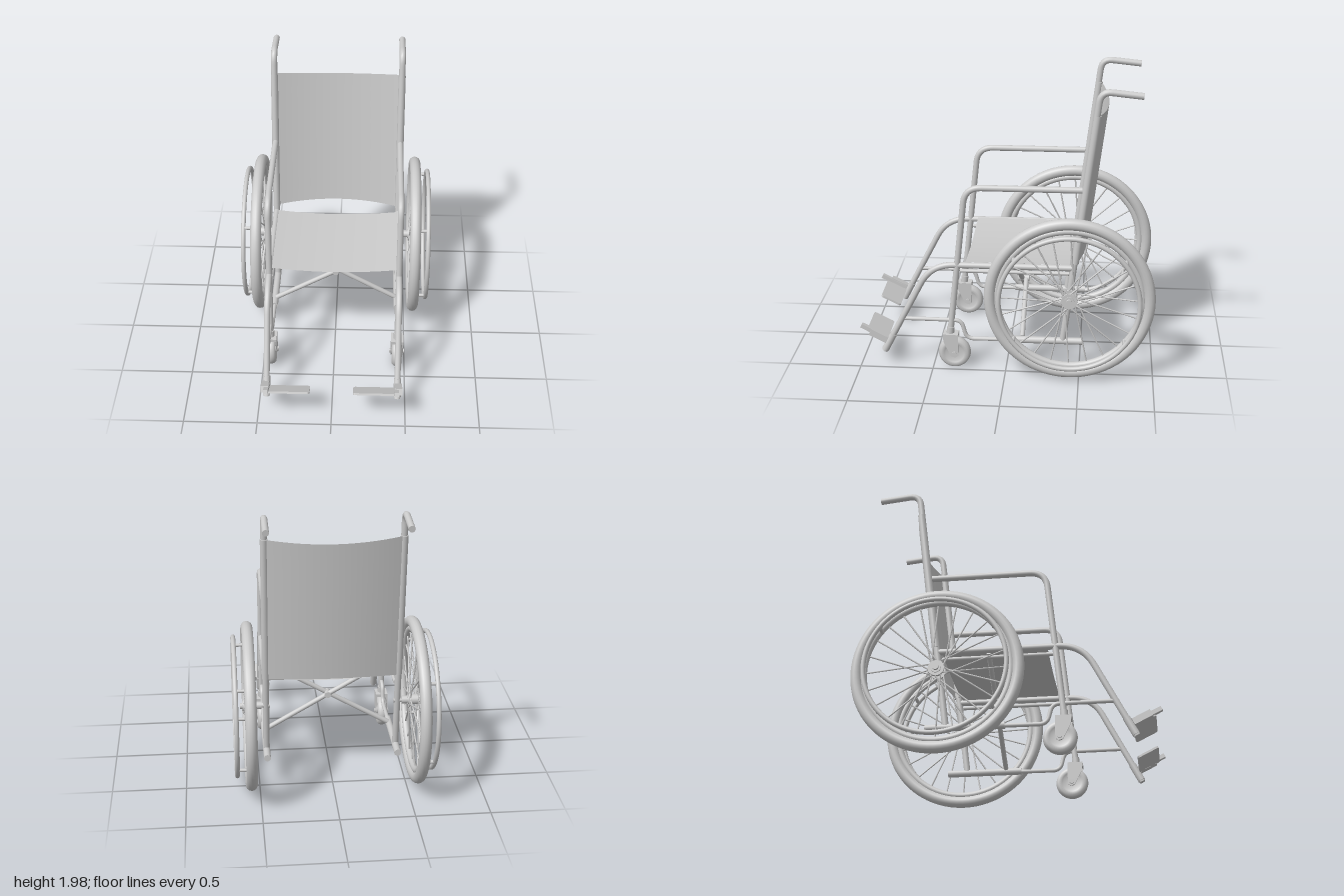
import * as THREE from 'three';
import { mergeGeometries } from 'three/addons/utils/BufferGeometryUtils.js';

const V = (x, y, z) => new THREE.Vector3(x, y, z);
const grey = new THREE.MeshStandardMaterial({ color: 0xcccccc });
const cloth = new THREE.MeshStandardMaterial({ color: 0xcccccc, side: THREE.DoubleSide });
const SIDE_X = 0.445;
const HUB = { x: 0.56, y: 0.578, z: -0.43 };

function add(parent, name, geometry, material = grey) {
  const mesh = new THREE.Mesh(geometry, material);
  mesh.name = name;
  parent.add(mesh);
}

// Straight round bar between two points
function bar(a, b, r, sides = 12) {
  const dir = b.clone().sub(a);
  const g = new THREE.CylinderGeometry(r, r, dir.length(), sides);
  g.applyQuaternion(new THREE.Quaternion().setFromUnitVectors(V(0, 1, 0), dir.normalize()));
  return g.translate(...a.clone().add(b).multiplyScalar(0.5).toArray());
}

// Bent pipe in the plane x = const; points are [z, y, bendLength]
function bentPipe(x, points, r) {
  const p = points.map(([z, y]) => V(x, y, z));
  const path = new THREE.CurvePath();
  let from = p[0];
  for (let i = 1; i < p.length - 1; i++) {
    const d = points[i][2];
    const a = p[i].clone().add(p[i - 1].clone().sub(p[i]).setLength(d));
    const b = p[i].clone().add(p[i + 1].clone().sub(p[i]).setLength(d));
    path.add(new THREE.LineCurve3(from, a));
    path.add(new THREE.QuadraticBezierCurve3(a, p[i], b));
    from = b;
  }
  const last = p[p.length - 1];
  path.add(new THREE.LineCurve3(from, last));
  const parts = [new THREE.TubeGeometry(path, 90, r, 14)];
  // Flat end caps
  for (const [end, t, sign] of [[p[0], 0, -1], [last, 1, 1]]) {
    const dir = path.getTangentAt(t).multiplyScalar(sign);
    const cap = new THREE.CircleGeometry(r, 14);
    cap.applyQuaternion(new THREE.Quaternion().setFromUnitVectors(V(0, 0, 1), dir));
    parts.push(cap.translate(end.x, end.y, end.z));
  }
  return mergeGeometries(parts);
}

const ringX = (R, r, x, y, z) =>
  new THREE.TorusGeometry(R, r, 14, 80).rotateY(Math.PI / 2).translate(x, y, z);
const barX = (x1, x2, y, z, r) => bar(V(x1, y, z), V(x2, y, z), r, 20);

// z of the leaning back post at a given height
const postZ = (y) => -0.385 - 0.126 * (y - 0.22);

function sideFrame(s) {
  const g = new THREE.Group();
  g.name = s > 0 ? 'leftFrame' : 'rightFrame';
  const x = s * SIDE_X;
  add(g, 'backPostAndHandle', bentPipe(x, [[postZ(0.22), 0.22], [postZ(1.97), 1.972, 0.075], [-0.88, 1.944]], 0.022));
  add(g, 'armrest', bentPipe(x, [[-0.5, 1.305], [0.272, 1.305, 0.11], [0.382, 0.25]], 0.021));
  add(g, 'seatRailAndLegTube', bentPipe(x, [[-0.44, 0.755], [0.505, 0.755, 0.16], [0.838, 0.105]], 0.021));
  add(g, 'seatSupportRail', bar(V(s * 0.43, 0.708, 0.31), V(s * 0.43, 0.708, -0.42), 0.013));
  add(g, 'lowerRail', bentPipe(x, [[-0.5, 0.22], [0.27, 0.215, 0.05], [0.305, 0.35, 0.05], [0.715, 0.352]], 0.014));
  add(g, 'lowerRailSleeve', bar(V(x, 0.22, 0.0), V(x, 0.22, -0.52), 0.024, 16));
  return g;
}

function bigWheel(s) {
  const g = new THREE.Group();
  g.name = s > 0 ? 'leftWheel' : 'rightWheel';
  const { y, z } = HUB, x = s * HUB.x;
  add(g, 'tire', ringX(0.531, 0.039, x, y, z));
  add(g, 'rim', ringX(0.483, 0.023, x, y, z));
  add(g, 'handRim', ringX(0.466, 0.016, s * 0.653, y, z));
  const at = (r, a, px) => V(px, y + r * Math.sin(a), z + r * Math.cos(a));
  // Pegs joining the hand rim to the wheel
  const pegs = [0.66, Math.PI - 0.66, Math.PI + 0.66, -0.66].map((a) =>
    bar(at(0.468, a, x), at(0.466, a, s * 0.653), 0.012));
  add(g, 'handRimPegs', mergeGeometries(pegs));
  // Crossed spokes alternating between the two hub flanges
  const spokes = [];
  for (let i = 0; i < 24; i++) {
    const a = (i / 24) * Math.PI * 2;
    const turn = Math.floor(i / 2) % 2 ? 0.9 : -0.9;
    spokes.push(bar(at(0.04, a + turn, x + (i % 2 ? 0.03 : -0.03)), at(0.47, a, x), 0.0055, 6));
  }
  add(g, 'spokes', mergeGeometries(spokes));
  add(g, 'hub', mergeGeometries([
    barX(x - 0.045, x + 0.045, y, z, 0.034),
    barX(x - 0.038, x - 0.024, y, z, 0.054),
    barX(x + 0.024, x + 0.038, y, z, 0.054),
    barX(x, x + s * 0.06, y, z, 0.02),
  ]));
  add(g, 'axle', mergeGeometries([
    barX(s * 0.42, x, y, z, 0.017),
    barX(s * 0.475, s * 0.52, y, z, 0.026),
  ]));
  return g;
}

function caster(s) {
  const g = new THREE.Group();
  g.name = s > 0 ? 'leftCaster' : 'rightCaster';
  const x = s * SIDE_X, y = 0.115, z = 0.353;
  const profile = [[0.02, -0.022], [0.06, -0.022], [0.068, -0.034], [0.092, -0.035], [0.107, -0.02],
    [0.111, 0], [0.107, 0.02], [0.092, 0.035], [0.068, 0.034], [0.06, 0.022], [0.02, 0.022]];
  const wheel = new THREE.LatheGeometry(profile.map((p) => new THREE.Vector2(...p)), 36);
  add(g, 'casterWheel', wheel.rotateZ(Math.PI / 2).translate(x, y, z));
  add(g, 'casterAxle', mergeGeometries([barX(x - 0.052, x + 0.052, y, z, 0.016), barX(x - 0.036, x + 0.036, y, z, 0.024)]));
  // Fork: two tapered plates under a crown
  const shape = new THREE.Shape([[0.43, 0.255], [0.325, 0.255], [0.325, 0.1], [0.345, 0.085], [0.375, 0.095], [0.425, 0.2]]
    .map(([pz, py]) => new THREE.Vector2(-pz, py)));
  for (const dx of [-0.043, 0.037]) {
    const plate = new THREE.ExtrudeGeometry(shape, { depth: 0.006, bevelEnabled: false });
    add(g, 'casterForkPlate', plate.rotateY(Math.PI / 2).translate(x + dx, 0, 0));
  }
  add(g, 'casterForkCrown', new THREE.BoxGeometry(0.084, 0.022, 0.103).translate(x, 0.245, 0.3775));
  add(g, 'casterStem', bar(V(x, 0.24, 0.383), V(x, 0.3, 0.378), 0.026, 16));
  return g;
}

function footrest(s) {
  const g = new THREE.Group();
  g.name = s > 0 ? 'leftFootrest' : 'rightFootrest';
  const tilt = -Math.atan2(0.085, 0.17);
  // Plate with rounded corners
  const w = 0.146, h = 0.078, r = 0.018;
  const shape = new THREE.Shape();
  shape.moveTo(-w + r, -h).lineTo(w - r, -h).quadraticCurveTo(w, -h, w, -h + r).lineTo(w, h - r)
    .quadraticCurveTo(w, h, w - r, h).lineTo(-w + r, h).quadraticCurveTo(-w, h, -w, h - r)
    .lineTo(-w, -h + r).quadraticCurveTo(-w, -h, -w + r, -h);
  const plate = new THREE.ExtrudeGeometry(shape, { depth: 0.014, bevelEnabled: false });
  add(g, 'footPlate', plate.rotateX(-Math.PI / 2).rotateX(tilt).translate(s * 0.292, 0.207, 0.893));
  add(g, 'footStrap', new THREE.BoxGeometry(0.032, 0.028, 0.19).rotateX(tilt).translate(s * 0.436, 0.243, 0.913));
  add(g, 'footBracket', new THREE.BoxGeometry(0.05, 0.045, 0.13).rotateX(tilt).translate(s * 0.45, 0.222, 0.875));
  add(g, 'footClamp', bar(V(s * SIDE_X, 0.23, 0.774), V(s * SIDE_X, 0.115, 0.833), 0.025, 16));
  return g;
}

export function createModel() {
  const model = new THREE.Group();
  model.name = 'wheelchair';
  for (const s of [1, -1]) model.add(sideFrame(s), bigWheel(s), caster(s), footrest(s));

  // Folding cross brace
  for (const s of [1, -1]) {
    const z = s > 0 ? -0.08 : -0.11;
    add(model, 'crossBrace', bar(V(-s * 0.435, 0.235, z), V(s * 0.435, 0.74, z), 0.017));
  }
  add(model, 'bracePivot', bar(V(0, 0.487, -0.13), V(0, 0.487, -0.055), 0.022, 16));

  // Seat sling sagging in the middle
  const seat = new THREE.PlaneGeometry(0.86, 0.7, 24, 1).rotateX(-Math.PI / 2);
  const sp = seat.attributes.position;
  for (let i = 0; i < sp.count; i++) {
    const u = sp.getX(i) / 0.43;
    sp.setY(i, 0.772 - 0.027 * (1 - u * u));
  }
  seat.translate(0, 0, -0.075).computeVertexNormals();
  add(model, 'seat', seat, cloth);

  // Backrest sling bowed to the rear between the leaning posts
  const back = new THREE.PlaneGeometry(0.93, 1, 32, 8);
  const bp = back.attributes.position;
  for (let i = 0; i < bp.count; i++) {
    const u = bp.getX(i) / 0.465, v = bp.getY(i) + 0.5;
    const bow = 1 - u * u;
    const y = THREE.MathUtils.lerp(0.785 + 0.02 * bow, 1.812 - 0.026 * bow, v);
    bp.setXYZ(i, bp.getX(i), y, postZ(y) - 0.012 - 0.068 * bow);
  }
  back.computeVertexNormals();
  add(model, 'backrest', back, cloth);
  // Cloth sleeves around the posts
  for (const s of [1, -1]) {
    add(model, 'backrestSleeve', bar(V(s * SIDE_X, 0.79, postZ(0.79) - 0.004), V(s * SIDE_X, 1.81, postZ(1.81) - 0.004), 0.025, 16));
  }
  return model;
}
